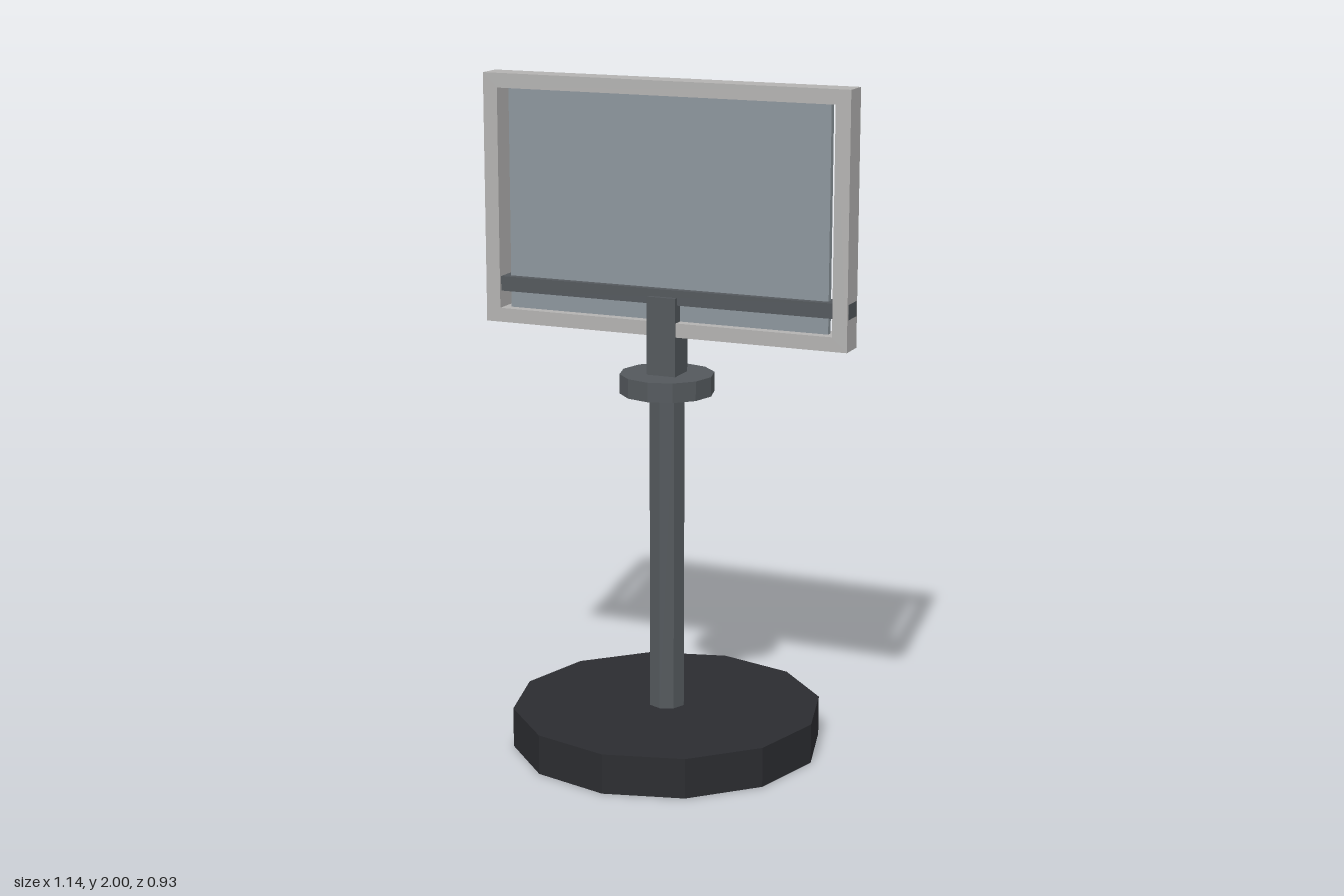
import * as THREE from 'three';

const mat = (color) => new THREE.MeshStandardMaterial({ color, flatShading: true });

export function createModel() {
  const group = new THREE.Group();
  const dark = mat(0x2b2c30);
  const metal = mat(0x53585c);
  const frameGrey = mat(0xb3b2b1);
  const glass = mat(0x8c959c);

  const add = (name, geometry, material, y = 0) => {
    const mesh = new THREE.Mesh(geometry, material);
    mesh.name = name;
    mesh.position.y = y;
    group.add(mesh);
  };
  // Upright prism and box, both placed by their bottom and top heights
  const prism = (name, r, y0, y1, sides, material) =>
    add(name, new THREE.CylinderGeometry(r, r, y1 - y0, sides), material, (y0 + y1) / 2);
  const box = (name, w, y0, y1, d, material) =>
    add(name, new THREE.BoxGeometry(w, y1 - y0, d), material, (y0 + y1) / 2);

  // Stand
  prism('base', 0.465, 0, 0.12, 12, dark);
  prism('pole', 0.055, 0.12, 1.085, 8, metal);
  prism('collar', 0.14, 1.085, 1.143, 12, metal);
  box('bracket', 0.09, 1.143, 1.375, 0.09, metal);

  // Open rectangular frame
  const rect = (path, x, y0, y1) =>
    path.moveTo(-x, y0).lineTo(x, y0).lineTo(x, y1).lineTo(-x, y1).closePath();
  const outline = rect(new THREE.Shape(), 0.57, 1.26, 2);
  outline.holes.push(rect(new THREE.Path(), 0.525, 1.302, 1.957));
  const frame = new THREE.ExtrudeGeometry(outline, { depth: 0.08, bevelEnabled: false });
  add('frame', frame.translate(0, 0, -0.04), frameGrey);

  // Panel with narrow gaps at its sides, and the cross bar through the frame
  box('panel', 1.005, 1.302, 1.957, 0.02, glass);
  box('crossBar', 1.142, 1.353, 1.397, 0.064, metal);

  return group;
}
